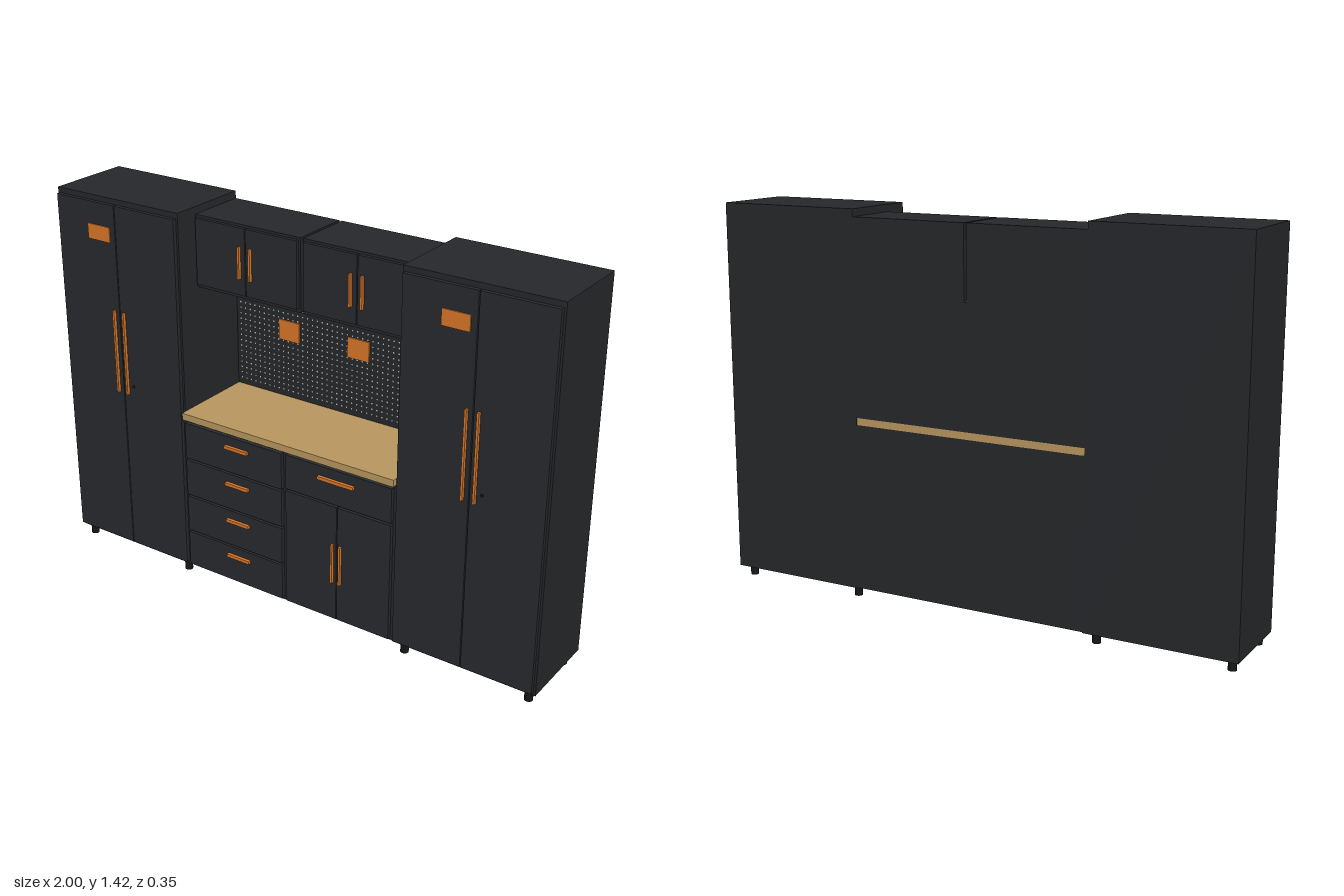
import * as THREE from 'three';
import { mergeGeometries } from 'three/addons/utils/BufferGeometryUtils.js';

const mat = (color) => new THREE.MeshStandardMaterial({ color });

export function createModel() {
  const root = new THREE.Group();
  const steel = mat(0x25272a), doorSteel = mat(0x282a2d), black = mat(0x141516);
  const orange = mat(0xd9772a), wood = mat(0xb8965f), dots = mat(0xb4b6b8);
  const BACK = -0.175, FRONT = 0.148, FACE = 0.163;

  // box given by its limits on each axis
  const box = (parent, name, m, x0, x1, y0, y1, z0, z1) => {
    const mesh = new THREE.Mesh(new THREE.BoxGeometry(x1 - x0, y1 - y0, z1 - z0), m);
    mesh.position.set((x0 + x1) / 2, (y0 + y1) / 2, (z0 + z1) / 2);
    mesh.name = name;
    parent.add(mesh);
  };
  const group = (name) => {
    const g = new THREE.Group();
    g.name = name;
    root.add(g);
    return g;
  };
  const verticalHandle = (g, x, y0, y1, z) =>
    box(g, 'handle', orange, x - 0.004, x + 0.004, y0, y1, z, z + 0.012);
  const drawerHandle = (g, x0, x1, y) =>
    box(g, 'drawerHandle', orange, x0, x1, y - 0.006, y + 0.006, FACE, FACE + 0.012);

  // tall lockers with two doors, badge, lock and four feet
  for (const [name, cx] of [['rightLocker', -0.724], ['leftLocker', 0.724]]) {
    const g = group(name);
    box(g, 'body', steel, cx - 0.276, cx + 0.276, 0.042, 1.422, BACK, FRONT);
    box(g, 'door', doorSteel, cx - 0.268, cx - 0.002, 0.055, 1.402, FRONT, FACE);
    box(g, 'door', doorSteel, cx + 0.002, cx + 0.268, 0.055, 1.402, FRONT, FACE);
    verticalHandle(g, cx - 0.022, 0.69, 1.01, FACE);
    verticalHandle(g, cx + 0.022, 0.69, 1.01, FACE);
    box(g, 'badge', orange, cx - 0.125, cx - 0.024, 1.264, 1.32, FACE, FACE + 0.004);
    const lock = new THREE.Mesh(new THREE.CylinderGeometry(0.006, 0.006, 0.004, 16), black);
    lock.rotation.x = Math.PI / 2;
    lock.position.set(cx + 0.046, 0.725, FACE + 0.001);
    lock.name = 'lock';
    g.add(lock);
    for (const dx of [-0.241, 0.241]) for (const z of [-0.132, 0.122]) {
      const foot = new THREE.Mesh(new THREE.CylinderGeometry(0.015, 0.015, 0.044, 16), black);
      foot.position.set(cx + dx, 0.022, z);
      foot.name = 'foot';
      g.add(foot);
    }
  }

  // drawer cabinet
  const drawers = group('drawerCabinet');
  box(drawers, 'body', steel, -0.448, -0.003, 0.045, 0.657, BACK, FRONT);
  const edges = [0.055, 0.204, 0.354, 0.504, 0.652];
  for (let i = 0; i < 4; i++) {
    box(drawers, 'drawer', doorSteel, -0.44, -0.012, edges[i], edges[i + 1] - 0.008, FRONT, FACE);
    drawerHandle(drawers, -0.255, -0.155, [0.16, 0.307, 0.457, 0.604][i]);
  }

  // base cabinet with one drawer over two doors
  const base = group('baseCabinet');
  box(base, 'body', steel, -0.003, 0.448, 0.045, 0.657, BACK, FRONT);
  box(base, 'drawer', doorSteel, 0.006, 0.438, 0.514, 0.646, FRONT, FACE);
  drawerHandle(base, 0.145, 0.292, 0.604);
  box(base, 'door', doorSteel, 0.006, 0.22, 0.055, 0.506, FRONT, FACE);
  box(base, 'door', doorSteel, 0.224, 0.438, 0.055, 0.506, FRONT, FACE);
  for (const x of [0.206, 0.238]) verticalHandle(base, x, 0.205, 0.358, FACE);

  box(root, 'worktop', wood, -0.447, 0.447, 0.657, 0.683, BACK, 0.168);

  // wall cabinets with a narrow gap between them
  for (const [name, x0] of [['rightWallCabinet', -0.448], ['leftWallCabinet', 0.005]]) {
    const g = group(name), x1 = x0 + 0.443, mid = (x0 + x1) / 2;
    box(g, 'body', steel, x0, x1, 1.13, 1.395, BACK, 0.052);
    box(g, 'door', doorSteel, x0 + 0.008, mid - 0.002, 1.145, 1.386, 0.052, 0.065);
    box(g, 'door', doorSteel, mid + 0.002, x1 - 0.008, 1.145, 1.386, 0.052, 0.065);
    for (const dx of [-0.023, 0.023]) verticalHandle(g, mid + dx, 1.205, 1.32, 0.065);
  }

  // perforated back panel
  const panel = group('pegboard');
  box(panel, 'backPanel', steel, -0.448, 0.448, 0.683, 1.13, BACK, -0.168);
  const holes = [];
  for (let c = 0; c < 40; c++) for (let r = 0; r < 19; r++)
    holes.push(new THREE.CircleGeometry(0.0032, 8)
      .translate(-0.43 + c * 0.0213, 0.708 + r * 0.0215, -0.1672));
  const holeMesh = new THREE.Mesh(mergeGeometries(holes), dots);
  holeMesh.name = 'pegHoles';
  panel.add(holeMesh);
  for (const x of [-0.21, 0.087])
    box(panel, 'hangingPlate', orange, x - 0.045, x + 0.045, 0.906, 0.982, -0.168, -0.162);

  return root;
}
